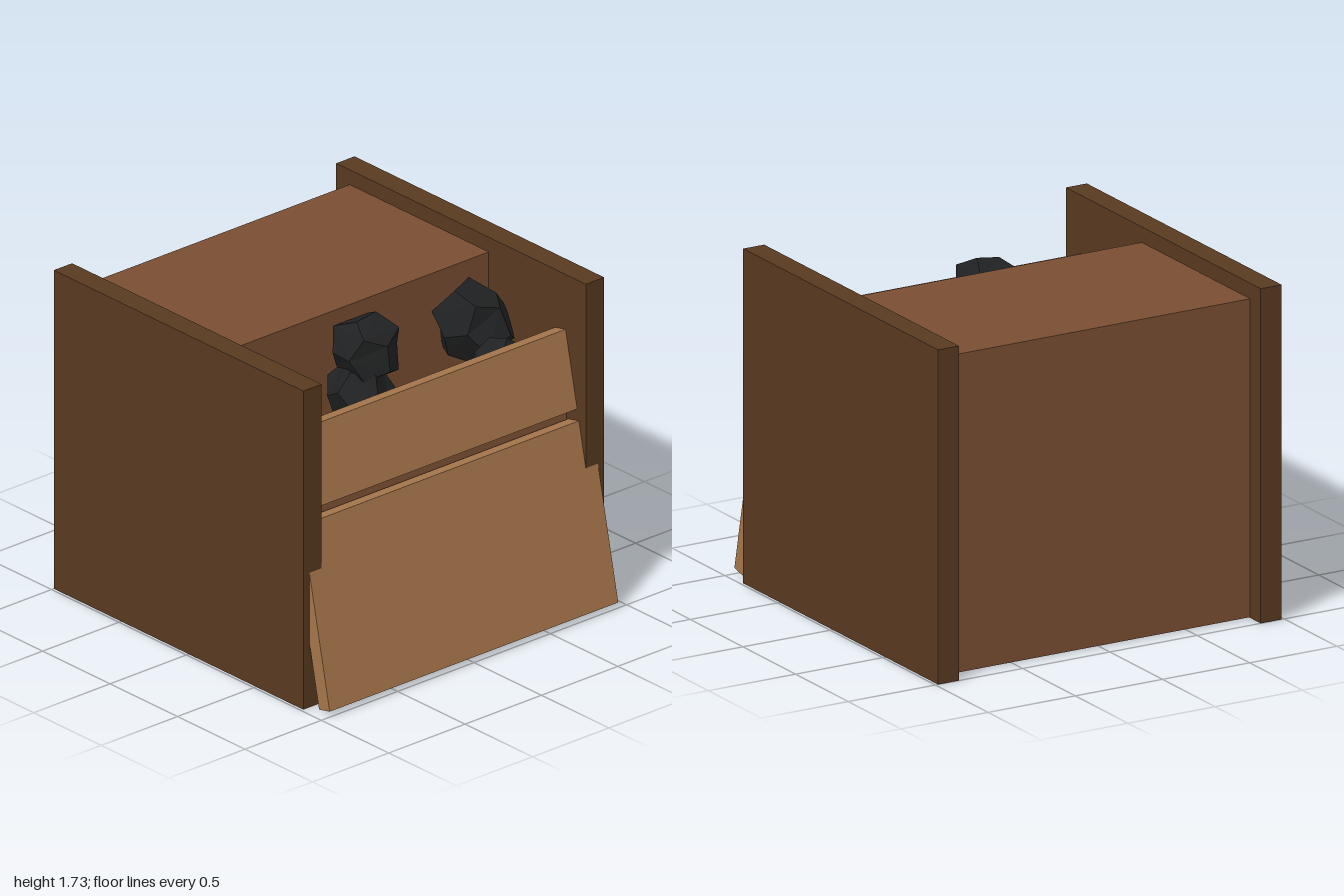
import * as THREE from 'three';

const mat = (name, color) => {
  const m = new THREE.MeshStandardMaterial({ color });
  m.name = name;
  return m;
};

export function createModel() {
  const darkWood = mat('dark wood', 0x583a21);
  const midWood = mat('medium wood', 0x7a4e33);
  const lightWood = mat('light wood', 0xa5754a);
  const coalBlack = mat('coal black', 0x202122);

  const model = new THREE.Group();
  model.name = 'coalBin';
  const add = (name, geometry, material, x = 0, y = 0, z = 0, parent = model) => {
    const mesh = new THREE.Mesh(geometry, material);
    mesh.name = name;
    mesh.position.set(x, y, z);
    parent.add(mesh);
    return mesh;
  };

  // Side walls
  for (const [name, s] of [['leftWall', 1], ['rightWall', -1]]) {
    add(name, new THREE.BoxGeometry(0.12, 1.73, 1.85), darkWood, s * 0.925, 0.865, -0.075);
  }

  // Stepped body: tall back and a lower bin floor, as a side profile run across x
  const profile = [[-0.9, 0.004], [0.85, 0.004], [0.69, 1.08], [0.13, 1.08], [0.13, 1.65], [-0.9, 1.65]];
  const shape = new THREE.Shape(profile.map(([z, y]) => new THREE.Vector2(-z, y)));
  const bodyGeo = new THREE.ExtrudeGeometry(shape, { depth: 1.74, bevelEnabled: false });
  bodyGeo.translate(0, 0, -0.87).rotateY(Math.PI / 2);
  add('body', bodyGeo, midWood);

  // Leaning front boards, placed along the slope from the bottom front edge
  const tilt = Math.atan(0.214);
  const front = new THREE.Group();
  front.name = 'frontBoards';
  front.position.set(0, 0.03, 1);
  front.rotation.x = -tilt;
  model.add(front);
  for (const [name, y0, y1] of [['lowerBoard', 0.03, 0.97], ['upperBoard', 1.03, 1.432]]) {
    const a = (y0 - 0.03) / Math.cos(tilt);
    const b = (y1 - 0.03) / Math.cos(tilt);
    add(name, new THREE.BoxGeometry(1.89, b - a, 0.08), lightWood, 0, (a + b) / 2, -0.04, front);
  }

  // Coal lumps: faceted solids with each corner pushed in or out
  const lump = (radius, seed) => {
    const geo = new THREE.DodecahedronGeometry(radius, 0);
    const p = geo.attributes.position;
    const v = new THREE.Vector3();
    for (let i = 0; i < p.count; i++) {
      v.fromBufferAttribute(p, i);
      const key = [v.x, v.y, v.z].map((c) => Math.round((c / radius) * 100));
      const n = Math.sin(key[0] * 12.99 + key[1] * 78.23 + key[2] * 37.72 + seed * 5.17) * 43758.5;
      v.multiplyScalar(0.88 + 0.24 * (n - Math.floor(n)));
      p.setXYZ(i, v.x, v.y, v.z);
    }
    geo.computeVertexNormals();
    return geo;
  };
  const lumps = [
    [-0.09, 1.49, 0.30, 0.18], [-0.15, 1.27, 0.32, 0.17],
    [0.66, 1.36, 0.24, 0.21], [0.60, 1.24, 0.51, 0.155],
    [-0.69, 1.25, 0.41, 0.155], [-0.66, 1.22, 0.06, 0.115],
  ];
  coalBlack.flatShading = true;
  lumps.forEach(([x, y, z, r], i) => {
    const mesh = add('coalLump' + (i + 1), lump(r, i + 1), coalBlack, x, y, z);
    mesh.rotation.set(i * 0.7, i * 1.3, i * 0.4);
  });

  return model;
}
